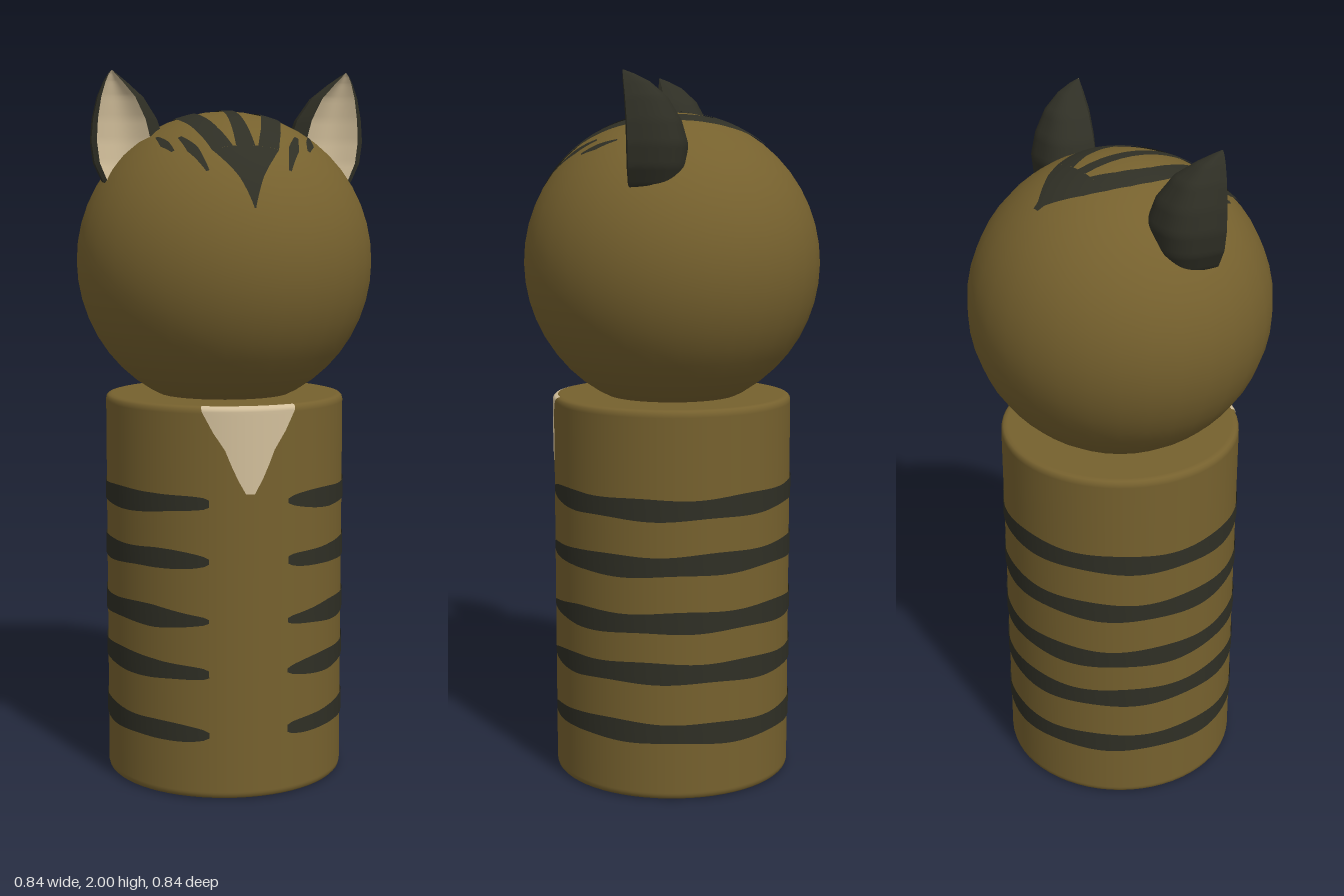
import * as THREE from 'three';

const HEAD_Y = 1.475, HEAD_R = 0.42, BODY_R = 0.34, BODY_H = 1.1;

const flat = (name, color, side = THREE.FrontSide) => {
  const m = new THREE.MeshStandardMaterial({ color, side });
  m.name = name;
  return m;
};

// Surface over a u,v grid; point(u, v) returns [x, y, z]
function gridSurface(nu, nv, point) {
  const pos = [], index = [];
  for (let j = 0; j <= nv; j++)
    for (let i = 0; i <= nu; i++) pos.push(...point(i / nu, j / nv));
  for (let j = 0; j < nv; j++)
    for (let i = 0; i < nu; i++) {
      const a = j * (nu + 1) + i, b = a + nu + 1;
      index.push(a, a + 1, b, a + 1, b + 1, b);
    }
  const g = new THREE.BufferGeometry();
  g.setAttribute('position', new THREE.Float32BufferAttribute(pos, 3));
  g.setIndex(index);
  g.computeVertexNormals();
  return g;
}

// Linear blend between neighbouring rows, t from 0 to 1
function sampleRows(rows, t) {
  const f = t * (rows.length - 1), i = Math.min(Math.floor(f), rows.length - 2);
  return rows[i].map((a, k) => a + (rows[i + 1][k] - a) * (f - i));
}

// Marking on the head; rows are [z, xStart, xEnd]
function headPatch(rows, side = 1) {
  const r = HEAD_R + 0.003;
  return gridSurface(10, (rows.length - 1) * 6, (u, v) => {
    const [z, a, b] = sampleRows(rows, v);
    const x = side * (a + (b - a) * u);
    return [x, HEAD_Y + Math.sqrt(r * r - x * x - z * z), z];
  });
}

// Radius just outside the body, following its rounded top edge
function coatRadius(y) {
  const k = Math.min(1, Math.max(0, (y - (BODY_H - 0.015)) / 0.015));
  return BODY_R + 0.003 - 0.015 * (1 - Math.sqrt(1 - k * k));
}

// Ear sections: [y, inner x, outer x, front z, back z]
const EAR = [
  [1.67, 0.2, 0.325, 0.07, -0.035],
  [1.7, 0.182, 0.355, 0.07, -0.06],
  [1.75, 0.177, 0.378, 0.07, -0.076],
  [1.81, 0.18, 0.386, 0.07, -0.08],
  [1.87, 0.2, 0.381, 0.072, -0.064],
  [1.93, 0.24, 0.368, 0.077, -0.03],
  [1.97, 0.288, 0.352, 0.082, 0.015],
  [1.99, 0.315, 0.341, 0.084, 0.055],
  [2.0, 0.329, 0.332, 0.085, 0.082],
];
const RIM_IN = 0.2, RIM_OUT = 0.93;

// Front of the ear: lip at both sides, shallow hollow between; w from 0 to 1
function earFront(side, w, v) {
  const [y, xi, xo, zf, zb] = sampleRows(EAR, v);
  const d = zf - zb;
  let z = zf;
  if (w < RIM_IN) z -= 0.18 * d * (1 - w / RIM_IN);
  else if (w > RIM_OUT) z -= 0.04 * d * (w - RIM_OUT) / (1 - RIM_OUT);
  else z -= 0.2 * d * Math.sin(Math.PI * (w - RIM_IN) / (RIM_OUT - RIM_IN));
  return [side * (xi + (xo - xi) * w), y, z];
}

// Rounded back of the ear, meeting the lip on both sides
function earBack(side, u, v) {
  const [y, xi, xo, zf, zb] = sampleRows(EAR, v);
  const a = Math.PI * u, c = Math.cos(a), d = zf - zb;
  const zEdge = zf - d * (0.18 + (0.04 - 0.18) * u);
  const x = (xi + xo) / 2 - (xo - xi) / 2 * Math.sign(c) * Math.pow(Math.abs(c), 0.75);
  return [side * x, y, zEdge + (zb - zEdge) * Math.pow(Math.max(0, Math.sin(a)), 0.75)];
}

export function createModel() {
  const brown = flat('brown fur', 0x76612e);
  const dark = flat('dark fur', 0x2f2f25, THREE.DoubleSide);
  const cream = flat('cream fur', 0xd2bf9b, THREE.DoubleSide);
  const model = new THREE.Group();
  model.name = 'cat figure';
  const add = (parent, name, geometry, material) => {
    const m = new THREE.Mesh(geometry, material);
    m.name = name;
    parent.add(m);
    return m;
  };

  // Body: cylinder with softly rounded rims
  const rim = [[0.32, 0], [0.325, 0], [0.333, 0.002], [0.338, 0.007], [0.34, 0.015], [0.34, 0.02]];
  const profile = [[0, 0], ...rim, ...rim.map(([r, y]) => [r, BODY_H - y]).reverse(), [0, BODY_H]];
  add(model, 'body', new THREE.LatheGeometry(profile.map(p => new THREE.Vector2(...p)), 64), brown);

  // Stripes wrap the back and taper toward the open front
  [0.83, 0.67, 0.505, 0.36, 0.19].forEach((y0, n) => {
    const start = 0.33, sweep = 2 * Math.PI - 2 * start;
    add(model, 'bodyStripe' + (n + 1), gridSurface(128, 2, (u, v) => {
      const a = start + sweep * u, edge = Math.min(u, 1 - u) * sweep;
      const half = 0.029 * (0.25 + 0.75 * Math.sqrt(Math.min(1, edge / 0.5)));
      const wave = 0.005 * Math.cos(2 * a + n) + 0.003 * Math.sin(7 * a + 2 * n + 4 * v);
      const y = y0 + wave + half * (2 * v - 1);
      return [coatRadius(y) * Math.sin(a), y, coatRadius(y) * Math.cos(a)];
    }), dark);
  });

  // Chest bib: [y, half width]
  const bib = [[0.86, 0.012], [0.9, 0.034], [0.94, 0.052], [0.98, 0.068], [1.03, 0.1], [1.085, 0.128], [1.1, 0.132]];
  add(model, 'chestPatch', gridSurface(16, 36, (u, v) => {
    const [y, w] = sampleRows(bib, v), r = coatRadius(y);
    const a = Math.asin(w / BODY_R) * (2 * u - 1);
    return [r * Math.sin(a), y, r * Math.cos(a)];
  }), cream);

  // Head
  const head = new THREE.Group();
  head.name = 'head';
  model.add(head);
  add(head, 'skull', new THREE.SphereGeometry(HEAD_R, 32, 24), brown).position.y = HEAD_Y;

  // Crown markings
  const both = rows => rows.map(([z, x]) => [z, -x, x]);
  add(head, 'foreheadPoint', headPatch(both([[0.275, 0.092], [0.305, 0.07], [0.35, 0.032], [0.393, 0.002]])), dark);
  add(head, 'crownStripe', headPatch(both([[-0.12, 0.018], [0.1, 0.018], [0.2, 0.022], [0.275, 0.026]])), dark);
  add(head, 'crownBack', headPatch(both([[-0.262, 0.01], [-0.245, 0.016], [-0.21, 0.05], [-0.17, 0.085], [-0.12, 0.114]])), dark);
  for (const [label, side] of [['left', 1], ['right', -1]]) {
    add(head, label + 'CrownBand', headPatch([
      [-0.12, 0.04, 0.114], [-0.06, 0.07, 0.136], [0, 0.086, 0.146], [0.04, 0.09, 0.146],
      [0.1, 0.083, 0.138], [0.2, 0.06, 0.115], [0.275, 0.035, 0.092],
    ], side), dark);
    add(head, label + 'BrowStripe', headPatch([[0.185, 0.158, 0.168], [0.25, 0.126, 0.154], [0.32, 0.108, 0.116]], side), dark);
    add(head, label + 'TempleStripe', headPatch([[0.12, 0.212, 0.218], [0.18, 0.192, 0.214], [0.225, 0.184, 0.192]], side), dark);

    // Ear: dark shell and lips around a cream hollow
    const ear = new THREE.Group();
    ear.name = label + 'Ear';
    head.add(ear);
    const front = (a, b) => gridSurface(12, 40, (u, v) => earFront(side, a + (b - a) * u, v));
    add(ear, 'earBack', gridSurface(28, 40, (u, v) => earBack(side, u, v)), dark);
    add(ear, 'earInnerLip', front(0, RIM_IN), dark);
    add(ear, 'earOuterLip', front(RIM_OUT, 1), dark);
    add(ear, 'earHollow', front(RIM_IN, RIM_OUT), cream);
    add(ear, 'earBase', gridSurface(28, 1, (u, v) => {
      const p = earBack(side, u, 0), q = earFront(side, 0.5, 0);
      return p.map((c, k) => c + (q[k] - c) * v);
    }), dark);
  }
  return model;
}
